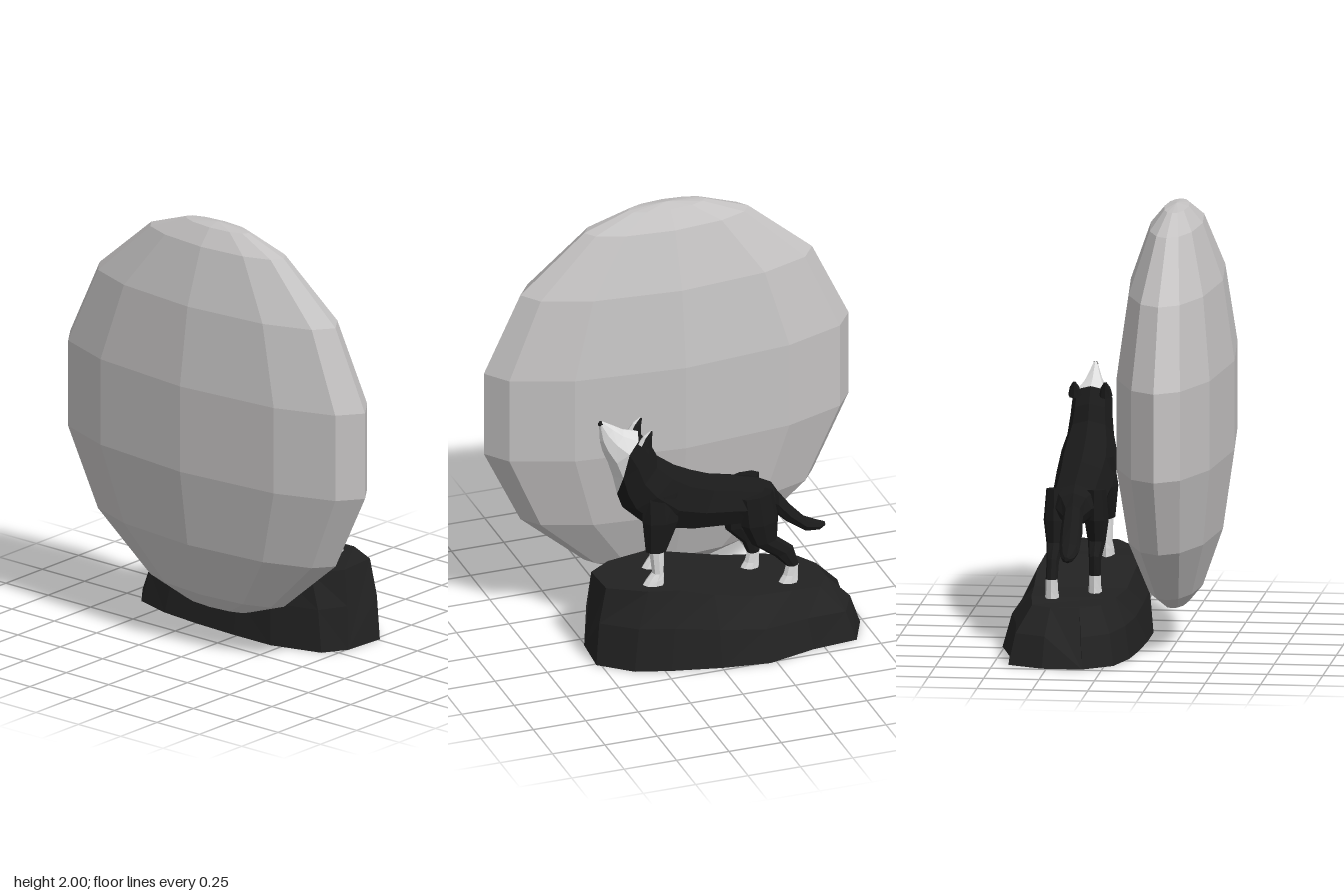
import * as THREE from 'three';

const material = (name, color) => {
  const m = new THREE.MeshStandardMaterial({ color });
  m.name = name;
  return m;
};

// Faceted, capped skin over rings of [x, y, z]; pick(ring, side, half) chooses the material index.
function loft(name, rings, materials, pick = () => 0) {
  const buckets = materials.map(() => []);
  const n = rings[0].length;
  const tri = (k, a, b, c) => buckets[k].push(...a, ...b, ...c);
  for (let i = 0; i < rings.length - 1; i++) {
    for (let j = 0; j < n; j++) {
      const p = rings[i][j], q = rings[i][(j + 1) % n];
      const r = rings[i + 1][j], s = rings[i + 1][(j + 1) % n];
      const left = j < n / 2;
      tri(pick(i, j, 0), p, q, left ? s : r);
      tri(pick(i, j, 1), left ? p : q, s, r);
    }
  }
  const first = rings[0], last = rings[rings.length - 1];
  for (let j = 1; j < n - 1; j++) {
    tri(pick(0, 0, 0), first[0], first[j + 1], first[j]);
    tri(pick(rings.length - 2, 0, 1), last[0], last[j], last[j + 1]);
  }
  const geo = new THREE.BufferGeometry();
  geo.setAttribute('position', new THREE.Float32BufferAttribute(buckets.flat(), 3));
  geo.computeVertexNormals();
  let start = 0;
  buckets.forEach((b, k) => {
    geo.addGroup(start, b.length / 3, k);
    start += b.length / 3;
  });
  const mesh = new THREE.Mesh(geo, materials);
  mesh.name = name;
  return mesh;
}

// Eight-sided ring between two side-profile points (y, z) with half width w around x = cx.
function ring([ay, az, by, bz, w], cx, dz = 0) {
  return Array.from({ length: 8 }, (_, j) => {
    const t = (j * Math.PI) / 4, c = Math.cos(t);
    return [
      cx + w * Math.sin(t),
      (ay + by) / 2 + ((ay - by) / 2) * c,
      (az + bz) / 2 + ((az - bz) / 2) * c + dz,
    ];
  });
}

export function createModel() {
  const model = new THREE.Group();
  model.name = 'howlingWolfAndMoon';
  const moonGrey = material('moonGrey', 0xc4c2c2);
  const rockBlack = material('rockBlack', 0x222222);
  const furBlack = material('furBlack', 0x1a1a1a);
  const furWhite = material('furWhite', 0xdcdcdc);
  const fur = [furBlack, furWhite];

  // Moon: flattened faceted sphere, rings from top to bottom
  const angles = [0, 25, 54, 90, 126, 155, 180, 205, 234, 270, 306, 335];
  const levels = [[2, 0.01], [1.985, 0.21], [1.91, 0.45], [1.65, 0.8], [1.285, 1],
    [0.88, 1], [0.52, 0.8], [0.26, 0.45], [0.185, 0.21], [0.17, 0.01]];
  model.add(loft('moon', levels.map(([y, r]) => angles.map((deg) => {
    const a = THREE.MathUtils.degToRad(deg);
    return [-0.25 + 0.26 * r * Math.sin(a), y, -0.87 * r * Math.cos(a)];
  })), [moonGrey]));

  // Rock: rows from front to back, each [left base x, z, left top x, y, z, right base x, z, right top x, y, z]
  const rows = [
    [0.06, 0.505, 0.07, 0.37, 0.475, 0.26, 0.52, 0.25, 0.375, 0.47],
    [-0.05, 0.44, -0.03, 0.355, 0.36, 0.38, 0.38, 0.34, 0.37, 0.3],
    [-0.12, 0.2, -0.07, 0.355, 0.16, 0.43, 0.22, 0.36, 0.36, 0.15],
    [-0.12, -0.02, -0.06, 0.32, 0, 0.48, 0, 0.38, 0.32, 0],
    [-0.11, -0.25, -0.05, 0.275, -0.2, 0.51, -0.22, 0.37, 0.275, -0.2],
    [-0.09, -0.45, -0.02, 0.265, -0.38, 0.45, -0.45, 0.36, 0.265, -0.38],
    [-0.04, -0.63, 0.03, 0.255, -0.52, 0.43, -0.66, 0.34, 0.25, -0.52],
    [0.09, -0.735, 0.12, 0.25, -0.58, 0.27, -0.735, 0.25, 0.25, -0.58],
  ];
  const flank = (bx, bz, tx, ty, tz) => [
    [bx, 0, bz],
    [bx + (tx - bx) * 0.3, ty * 0.55, bz + (tz - bz) * 0.3],
    [tx, ty, tz],
  ];
  model.add(loft('rock', rows.map((r) =>
    [...flank(...r.slice(0, 5)), ...flank(...r.slice(5)).reverse()]), [rockBlack]));

  // Wolf
  const wolf = new THREE.Group();
  wolf.name = 'wolf';
  model.add(wolf);
  const mid = 0.175;

  // Head, trunk and tail from nose to tail tip: [back y, z, belly y, z, half width]
  const spine = [
    [1.18, 0.462, 1.155, 0.475, 0.012],
    [1.15, 0.41, 1.08, 0.472, 0.032],
    [1.12, 0.36, 1.03, 0.46, 0.055],
    [1.1, 0.29, 0.97, 0.435, 0.09],
    [1.03, 0.235, 0.89, 0.41, 0.095],
    [0.96, 0.2, 0.8, 0.39, 0.105],
    [0.9, 0.12, 0.73, 0.365, 0.125],
    [0.86, 0.04, 0.61, 0.24, 0.135],
    [0.82, -0.06, 0.575, 0.08, 0.13],
    [0.79, -0.18, 0.565, -0.1, 0.125],
    [0.76, -0.29, 0.56, -0.22, 0.125],
    [0.73, -0.345, 0.585, -0.33, 0.08],
    [0.68, -0.375, 0.58, -0.355, 0.045],
    [0.6, -0.435, 0.52, -0.415, 0.05],
    [0.53, -0.5, 0.46, -0.5, 0.045],
    [0.5, -0.56, 0.452, -0.57, 0.03],
    [0.485, -0.6, 0.465, -0.6, 0.01],
  ];
  // White face narrows to a point on the chest
  const whiteFace = (i, j, half) => {
    const throat = j === 3 || j === 4, cheek = j === 2 || j === 5;
    const white = i < 3 || (i === 3 && (throat || (cheek && half === 0))) ||
      (i === 4 && throat && half === 0);
    return white ? 1 : 0;
  };
  wolf.add(loft('body', spine.map((s) => ring(s, mid)), fur, whiteFace));

  const nose = new THREE.Mesh(new THREE.IcosahedronGeometry(0.014, 0), furBlack);
  nose.name = 'nose';
  nose.position.set(mid, 1.168, 0.468);
  wolf.add(nose);

  // Legs from top to paw: [back y, z, front y, z, half width]
  const frontLeg = [
    [0.82, 0.12, 0.8, 0.3, 0.035],
    [0.68, 0.12, 0.68, 0.3, 0.055],
    [0.53, 0.185, 0.53, 0.285, 0.038],
    [0.525, 0.2, 0.525, 0.268, 0.03],
    [0.42, 0.2, 0.42, 0.255, 0.027],
    [0.39, 0.198, 0.385, 0.285, 0.032],
    [0.35, 0.198, 0.35, 0.31, 0.035],
  ];
  const hindLeg = [
    [0.74, -0.32, 0.72, -0.16, 0.045],
    [0.6, -0.345, 0.58, -0.17, 0.055],
    [0.5, -0.34, 0.48, -0.22, 0.04],
    [0.44, -0.415, 0.4, -0.33, 0.028],
    [0.35, -0.442, 0.345, -0.383, 0.027],
    [0.3, -0.44, 0.3, -0.37, 0.028],
    [0.262, -0.44, 0.262, -0.345, 0.032],
  ];
  // Ears from root to tip: [front y, z, back y, z, half width]
  const ear = [
    [1.07, 0.315, 1.05, 0.25, 0.03],
    [1.105, 0.29, 1.09, 0.25, 0.022],
    [1.13, 0.255, 1.125, 0.245, 0.004],
  ];
  for (const side of [1, -1]) {
    const label = side > 0 ? 'left' : 'right';
    const lag = side > 0 ? 0 : 1;
    wolf.add(loft(label + 'FrontLeg',
      frontLeg.map((s) => ring(s, mid + side * 0.088, -0.065 * lag)), fur, (i) => (i > 2 ? 1 : 0)));
    wolf.add(loft(label + 'HindLeg',
      hindLeg.map((s, i) => ring(s, mid + side * 0.09, 0.12 * lag * Math.min(1, i / 4))),
      fur, (i) => (i > 3 ? 1 : 0)));
    wolf.add(loft(label + 'Ear', ear.map((s) => ring(s, mid + side * 0.07)), fur,
      (i, j) => (j === 0 || j === 7 ? 1 : 0)));
  }
  return model;
}
